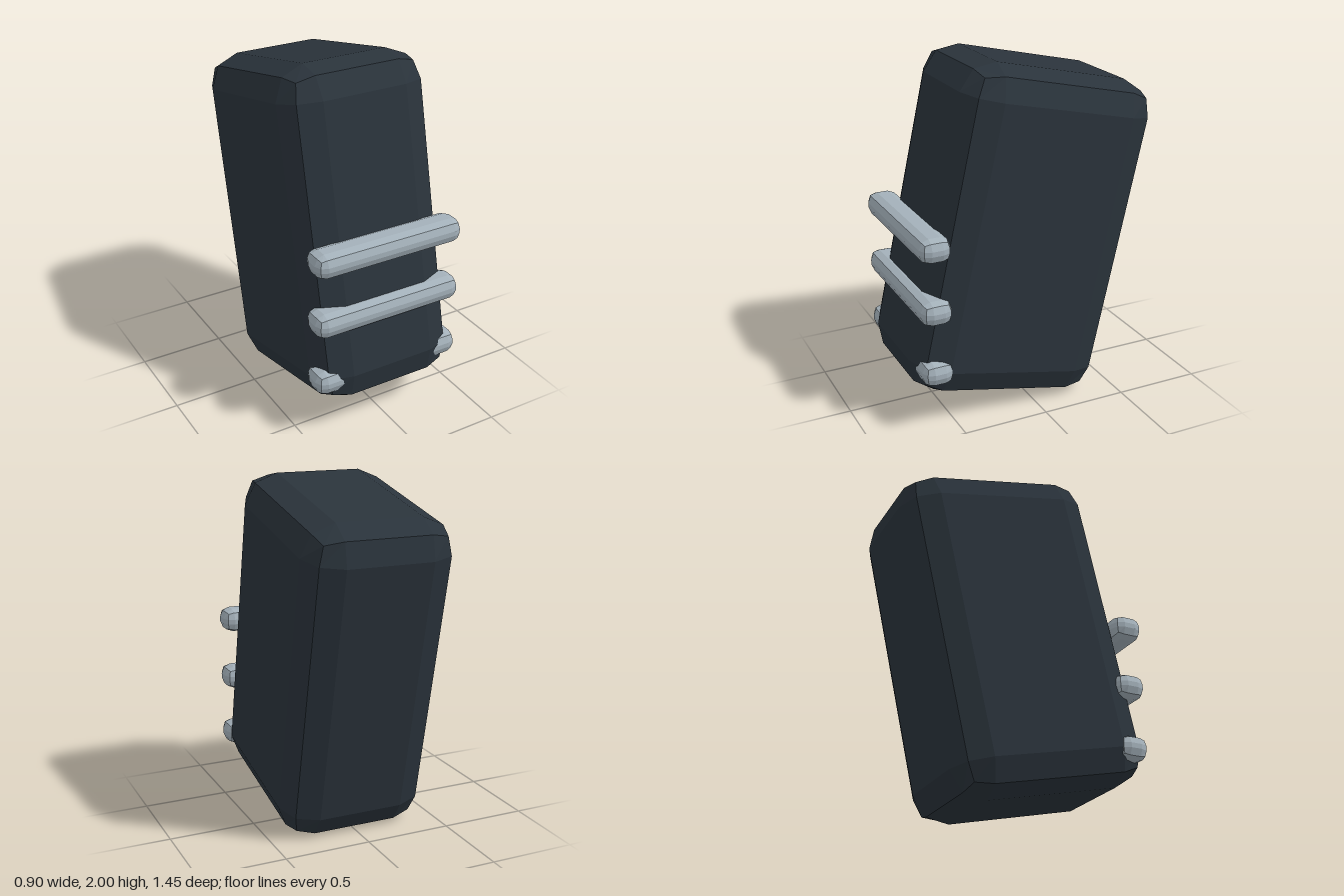
import * as THREE from 'three';
import { RoundedBoxGeometry } from 'three/addons/geometries/RoundedBoxGeometry.js';

const shell = new THREE.MeshStandardMaterial({ color: 0x2a333b, flatShading: true });
shell.name = 'dark slate';
const metal = new THREE.MeshStandardMaterial({ color: 0xa3b0b9, flatShading: true });
metal.name = 'light steel';

function roundedBlock(name, size, radius, material) {
  const mesh = new THREE.Mesh(new RoundedBoxGeometry(...size, 1, radius), material);
  mesh.name = name;
  return mesh;
}

export function createModel() {
  const model = new THREE.Group();

  // Chamfered body leaning backwards
  const body = roundedBlock('body', [0.86, 1.87, 1.15], 0.18, shell);
  body.position.y = 1;
  body.rotation.x = -0.22;
  model.add(body);

  // Horizontal bars across the lower front; the lowest is mostly sunk into the body
  const bars = new THREE.Group();
  bars.name = 'frontBars';
  [0.357, 0.718, 1.078].forEach((y, i) => {
    const bar = roundedBlock(`bar${i + 1}`, [0.9, 0.138, 0.175], 0.055, metal);
    bar.position.set(0, y, 0.615);
    bars.add(bar);
  });
  model.add(bars);

  return model;
}
